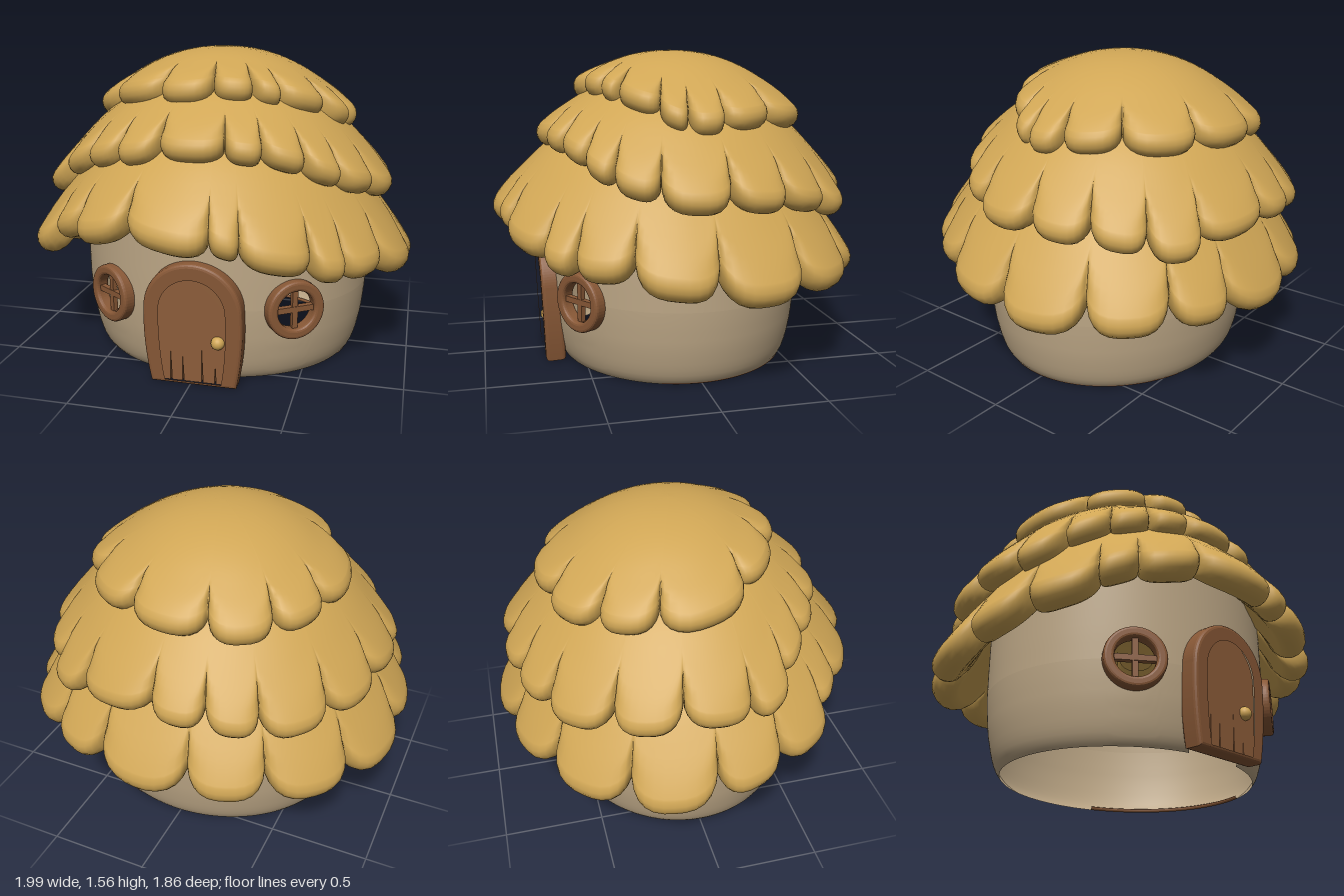
import * as THREE from 'three';

const mat = (name, color, side = THREE.FrontSide) => {
  const m = new THREE.MeshStandardMaterial({ color, side });
  m.name = name;
  return m;
};

// Surface from a closed ring of columns; rows run from bottom to top.
function ringSurface(cols, rows, point) {
  const pos = [], idx = [];
  for (let i = 0; i < cols; i++)
    for (let j = 0; j < rows; j++) pos.push(...point(i, j));
  for (let i = 0; i < cols; i++)
    for (let j = 0; j < rows - 1; j++) {
      const a = i * rows + j, b = ((i + 1) % cols) * rows + j;
      idx.push(a, b, b + 1, a, b + 1, a + 1);
    }
  const g = new THREE.BufferGeometry();
  g.setAttribute('position', new THREE.Float32BufferAttribute(pos, 3));
  g.setIndex(idx);
  g.computeVertexNormals();
  return g;
}

// One thatch layer: a dome whose edge is cut into padded lobes.
// lobes: [start angle in degrees, tip radius] going round the dome.
// corners: roundness of the plan at front left, front right, back left, back right.
function thatchLayer(lobes, { top, drop, power, shift, thick, notch, inset, corners = [2, 2, 2, 2] }) {
  const n = lobes.length, STEPS = 14, MAIN = 18, LIP = 8, UNDER = 3;
  const at = i => lobes[(i + n) % n];
  const width = i => (at(i + 1)[0] - at(i)[0] + 360) % 360;
  // narrow lobes are only shallowly cut
  const notchR = i => (at(i - 1)[1] + at(i)[1]) / 2
    - notch * Math.min(1, Math.min(width((i + n - 1) % n), width(i % n)) / 20);
  const columns = [];
  lobes.forEach(([start, tip], i) => {
    for (let k = 0; k < STEPS; k++) {
      const t = Math.sin((k / STEPS - 0.5) * Math.PI), u = (t + 1) / 2;
      const w = Math.sqrt(Math.max(0, 1 - Math.abs(t) ** 3));
      const base = THREE.MathUtils.lerp(notchR(i), notchR(i + 1), u);
      const bulge = tip - (notchR(i) + notchR(i + 1)) / 2;
      const ang = THREE.MathUtils.degToRad(start + width(i) * u);
      columns.push(section(ang, base + bulge * w - inset, w));
    }
  });

  function section(ang, R, w) {
    const s = Math.sin(ang), c = Math.cos(ang);
    const h = r => {
      const x = r * s, z = r * c - shift;
      const p = corners[(z < 0 ? 2 : 0) + (x < 0 ? 1 : 0)];
      return top - drop * (Math.abs(x) ** p + Math.abs(z) ** p) ** (power / p);
    };
    const frame = r => {
      const slope = (h(r + 0.005) - h(r - 0.005)) / 0.01, l = Math.hypot(1, slope);
      return { t: [1 / l, slope / l], m: [-slope / l, 1 / l] };
    };
    const T = thick * (0.7 + 0.3 * w), pts = [];
    const surface = (r, depth) => {
      const pad = THREE.MathUtils.smoothstep(r, R - 0.16, R) * 0.012 * w;
      const groove = THREE.MathUtils.smoothstep(r, R - 0.07, R) * 0.035 * (1 - w);
      const off = pad - groove - depth, { m } = frame(r);
      return [r + m[0] * off, h(r) + m[1] * off];
    };
    // upper face, rounded lip, then the underside
    for (let j = 0; j <= MAIN; j++)
      pts.push(surface(R * (1 - (1 - j / MAIN) ** 1.8), 0));
    const e = pts[MAIN], { t, m } = frame(R);
    for (let j = 1; j <= LIP; j++) {
      const f = (j / LIP) * Math.PI, a = (Math.cos(f) - 1) * T / 2, b = Math.sin(f) * T / 2;
      pts.push([e[0] + m[0] * a + t[0] * b, e[1] + m[1] * a + t[1] * b]);
    }
    for (let j = 1; j <= UNDER; j++) pts.push(surface(R - 0.1 * j, T));
    return pts.reverse().map(([r, y]) => [r * s, y, r * c]);
  }
  return ringSurface(columns.length, columns[0].length, (i, j) => columns[i][j]);
}

// Wall measurements: an oval that narrows towards the ground
const CX = 0.02, CZ = 0.01, RX = 0.75, RZ = 0.66;
const TAPER = [[0, 0.88], [0.02, 0.905], [0.05, 0.925], [0.1, 0.947], [0.2, 0.975], [0.35, 0.997], [0.5, 1], [2, 1]];
function taper(y) {
  const k = Math.max(1, TAPER.findIndex(p => p[0] >= y));
  const [a, b] = [TAPER[k - 1], TAPER[k]];
  return a[1] + (b[1] - a[1]) * (y - a[0]) / (b[0] - a[0]);
}
const wallPoint = (a, y) => [CX + RX * taper(y) * Math.sin(a), y, CZ + RZ * taper(y) * Math.cos(a)];
const WIN_A = 0.645, WIN_Y = 0.375;

// Lower and upper limit of the opening at an angle
function opening(a) {
  if (Math.abs(a) < 0.258) {
    const x = RX * Math.sin(a);
    return [0, 0.4 + Math.sqrt(Math.max(0, 0.0365 - x * x))];
  }
  const d = (Math.abs(a) - WIN_A) / 0.162;
  const h = 0.117 * Math.sqrt(Math.max(0, 1 - d * d));
  return [WIN_Y - h, WIN_Y + h];
}

// Arched outline with slightly bowed sides
function arch(Path, w, spring, bow = 0) {
  const p = new Path();
  p.moveTo(-w + bow, 0);
  p.quadraticCurveTo(-w - bow * 0.3, spring / 2, -w, spring);
  p.absarc(0, spring, w, Math.PI, 0, true);
  p.quadraticCurveTo(w + bow * 0.3, spring / 2, w - bow, 0);
  return p;
}
// Arched door board with slits [x, height] rising from the foot, right to left
function board(slits) {
  const p = arch(THREE.Shape, 0.19, 0.38, 0.015);
  for (const [x, y] of slits) {
    p.lineTo(x + 0.004, 0);
    p.lineTo(x, y);
    p.lineTo(x - 0.004, 0);
  }
  return p;
}
const extrude = (shape, depth, bevel) => new THREE.ExtrudeGeometry(shape, {
  depth: depth - 2 * bevel, bevelEnabled: bevel > 0, bevelSize: bevel, bevelOffset: -bevel,
  bevelThickness: bevel, bevelSegments: 3, curveSegments: 28,
}).translate(0, 0, bevel);

export function createModel() {
  const thatch = mat('thatch', 0xd0a655, THREE.DoubleSide);
  const plaster = mat('plaster', 0xbda786, THREE.DoubleSide);
  const trim = mat('darkWood', 0x885836);
  const wood = mat('doorWood', 0x8f5f3b);
  const brass = mat('brass', 0xd0a655);

  const house = new THREE.Group();
  house.name = 'cottage';
  const add = (parent, name, geo, m, x = 0, y = 0, z = 0) => {
    const mesh = new THREE.Mesh(geo, m);
    mesh.name = name;
    mesh.position.set(x, y, z);
    parent.add(mesh);
  };

  // Walls, in a band below and a band above the openings
  const COLS = 360, ROWS = 12;
  const band = upper => ringSurface(COLS, ROWS, (i, j) => {
    const a = (i / COLS) * 2 * Math.PI - Math.PI, [lo, hi] = opening(a);
    const roofLine = 0.79 + 0.06 * Math.cos(a), f = j / (ROWS - 1);
    return wallPoint(a, upper ? hi + (roofLine - hi) * f : lo * f ** 1.5);
  });
  add(house, 'lowerWall', band(false), plaster);
  add(house, 'upperWall', band(true), plaster);

  // Wooden sill along the foot of the wall
  const sill = [];
  for (let d = 72; d <= 160; d += 4)
    sill.push(new THREE.Vector3(...wallPoint(THREE.MathUtils.degToRad(d), 0)).setY(0.01));
  add(house, 'sill', new THREE.TubeGeometry(new THREE.CatmullRomCurve3(sill), 48, 0.01, 6), trim);

  // Thatched roof, bottom layer first
  add(house, 'lowerThatch', thatchLayer([
    [-18, 0.91], [9, 0.91], [18, 0.94], [39, 0.96], [50, 0.96], [67, 0.985], [91, 1.0], [117, 0.99],
    [141, 0.95], [161, 0.925], [192, 0.93], [217, 0.97], [244, 1.0], [270, 0.99], [290, 0.98],
    [310, 0.91], [322, 0.91],
  ], {
    top: 1.28, drop: 0.76, power: 2.4, shift: 0.09, thick: 0.15, notch: 0.085, inset: 0.01,
    corners: [1.83, 2, 2.35, 2.05],
  }), thatch);
  add(house, 'middleThatch', thatchLayer([
    [-14, 0.69], [14, 0.7], [29, 0.73], [45, 0.79], [58, 0.84], [74, 0.88], [97, 0.88], [117, 0.89],
    [135, 0.92], [152, 0.88], [180, 0.88], [198, 0.9], [215, 0.92], [238, 0.91], [260, 0.9],
    [282, 0.9], [297, 0.8], [312, 0.75], [328, 0.72],
  ], { top: 1.45, drop: 0.74, power: 2.35, shift: 0.02, thick: 0.13, notch: 0.08, inset: 0.018 }), thatch);
  add(house, 'topThatch', thatchLayer([
    [-27, 0.5], [7, 0.48], [32, 0.51], [47, 0.57], [72, 0.66], [85, 0.69], [101, 0.67], [127, 0.68],
    [161, 0.69], [197, 0.71], [225, 0.69], [251, 0.66], [295, 0.54],
  ], { top: 1.56, drop: 0.74, power: 2.2, shift: 0, thick: 0.13, notch: 0.085, inset: 0.03 }), thatch);

  // Door: frame, two slit boards and knob, leaning out with the wall
  const door = new THREE.Group();
  door.name = 'door';
  door.position.set(0.015, 0, 0.595);
  door.rotation.x = 0.045;
  house.add(door);
  const frameShape = arch(THREE.Shape, 0.24, 0.38, 0.03);
  frameShape.holes.push(arch(THREE.Path, 0.18, 0.38, 0.025));
  add(door, 'doorFrame', extrude(frameShape, 0.1, 0.018), trim);
  const front = board([[0.105, 0.1], [0.04, 0.21], [-0.055, 0.14], [-0.115, 0.19]]);
  const back = board([[0.13, 0.4], [0.07, 0.5], [0, 0.52], [-0.085, 0.48]]);
  add(door, 'doorPanel', extrude(front, 0.035, 0), wood, 0, 0.005, 0.038);
  add(door, 'doorBacking', extrude(back, 0.02, 0), wood, 0, 0.007, 0.018);
  add(door, 'doorKnob', new THREE.SphereGeometry(0.033, 20, 14), brass, 0.12, 0.225, 0.075);

  // Round windows with crossed bars
  for (const side of [-1, 1]) {
    const win = new THREE.Group();
    win.name = side > 0 ? 'leftWindow' : 'rightWindow';
    win.position.set(...wallPoint(side * WIN_A, WIN_Y));
    win.rotation.y = side * 0.6;
    house.add(win);
    const ring = new THREE.Shape().absarc(0, 0, 0.145, 0, Math.PI * 2);
    ring.holes.push(new THREE.Path().absarc(0, 0, 0.095, 0, Math.PI * 2, true));
    add(win, 'windowFrame', extrude(ring, 0.07, 0.015), trim, 0, 0, -0.027);
    add(win, 'uprightBar', new THREE.BoxGeometry(0.028, 0.2, 0.024), trim, 0, 0, 0.008);
    add(win, 'crossBar', new THREE.BoxGeometry(0.2, 0.028, 0.03), trim, 0, 0, 0.008);
  }
  return house;
}
